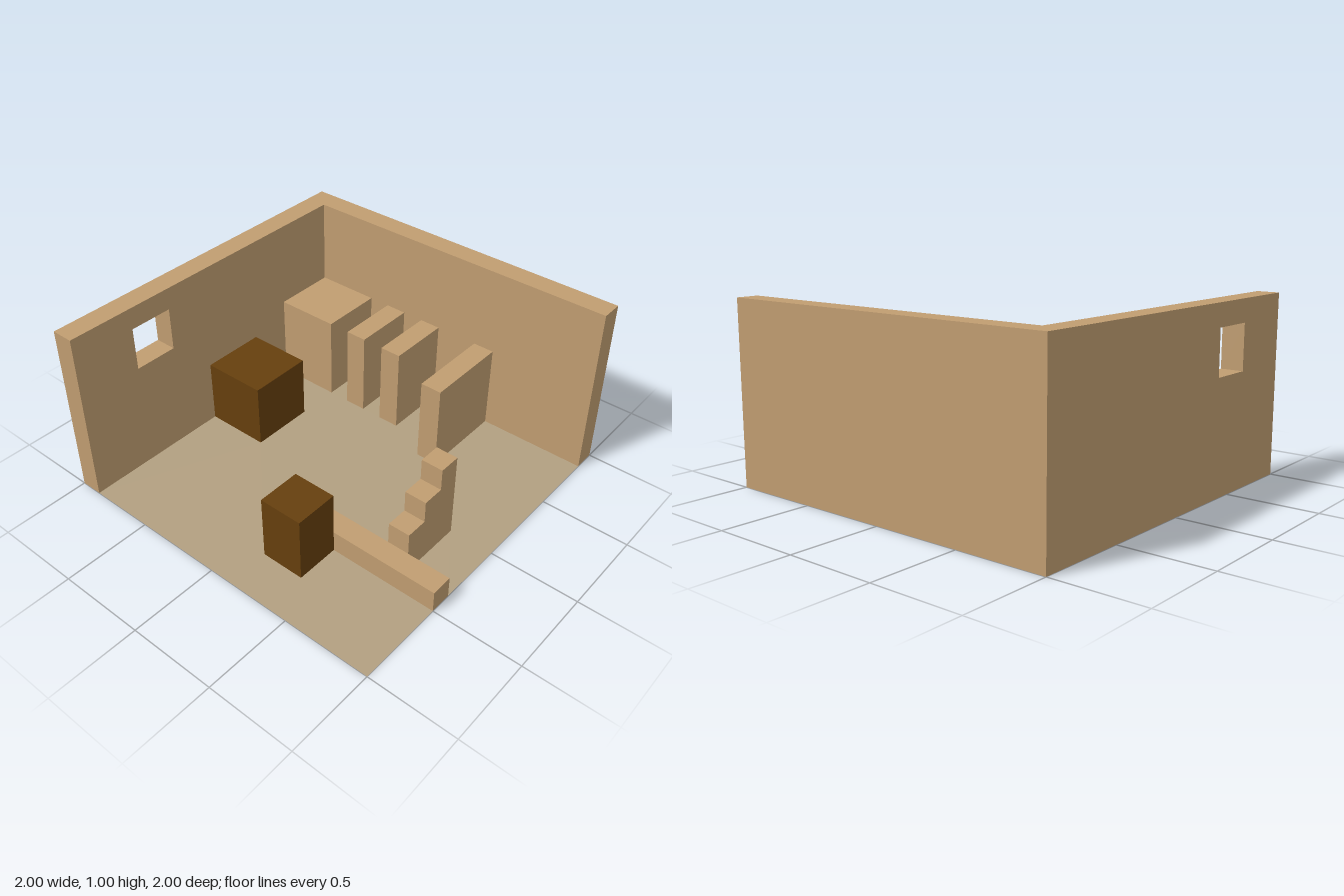
import * as THREE from 'three';

export function createModel() {
  const model = new THREE.Group();
  const mat = (name, color) => {
    const m = new THREE.MeshStandardMaterial({ color, side: THREE.DoubleSide });
    m.name = name;
    return m;
  };
  const sandstone = mat('sandstone', 0xc09d71);
  const floorTan = mat('floorTan', 0xb29f80);
  const brown = mat('darkBrown', 0x663f0d);

  const add = (name, geo, material) => {
    const mesh = new THREE.Mesh(geo, material);
    mesh.name = name;
    model.add(mesh);
    return mesh;
  };

  // Drops the triangles lying on the ground, leaving a hollow shell
  const openBottom = (geo) => {
    const g = geo.index ? geo.toNonIndexed() : geo;
    const p = g.attributes.position;
    const keep = [];
    for (let i = 0; i < p.count; i += 3) {
      if (Math.max(p.getY(i), p.getY(i + 1), p.getY(i + 2)) > 0.001) keep.push(i, i + 1, i + 2);
    }
    g.clearGroups();
    g.setIndex(keep);
    return g;
  };

  // Block standing on the ground, from its x range, z range and height
  const block = (name, x0, x1, z0, z1, h, material = sandstone) => {
    const geo = new THREE.BoxGeometry(x1 - x0, h, z1 - z0);
    geo.translate((x0 + x1) / 2, h / 2, (z0 + z1) / 2);
    return add(name, openBottom(geo), material);
  };

  // Floor, cut around the footprints of everything standing on it
  const outline = [
    [-1, -0.875], [-0.125, -0.875], [-0.125, -0.5], [0.25, -0.5], [0.25, -0.875],
    [0.5, -0.875], [0.5, -0.5], [0.875, -0.5], [0.875, -0.375], [0.5, -0.375],
    [0.5, -0.25], [0.875, -0.25], [0.875, -0.125], [0.5, -0.125], [0.5, 0],
    [0.875, 0], [0.875, 0.25], [0.375, 0.25], [0.375, 0.375], [0.875, 0.375],
    [0.875, 1], [-0.375, 1], [-0.375, 0.75], [0, 0.75], [0, 0.625],
    [-0.375, 0.625], [-0.375, 0.125], [-0.75, 0.125], [-0.75, 0.375],
    [-0.5, 0.375], [-0.5, 1], [-1, 1],
  ];
  const floorShape = new THREE.Shape(outline.map(([x, z]) => new THREE.Vector2(x, -z)));
  add('floor', new THREE.ShapeGeometry(floorShape).rotateX(-Math.PI / 2), floorTan);

  // Back wall with a square window
  const rect = (C, x0, x1, y0, y1) => new C([
    new THREE.Vector2(x0, y0), new THREE.Vector2(x1, y0),
    new THREE.Vector2(x1, y1), new THREE.Vector2(x0, y1),
  ]);
  const wall = rect(THREE.Shape, -1, 1, 0, 1);
  wall.holes.push(rect(THREE.Path, -0.625, -0.375, 0.625, 0.875));
  const wallGeo = new THREE.ExtrudeGeometry(wall, { depth: 0.125, bevelEnabled: false });
  add('backWall', openBottom(wallGeo.translate(0, 0, -1)), sandstone);

  // Side wall
  block('leftWall', 0.875, 1, -0.875, 1, 1);

  // Low curb and the steps rising from it
  block('curb', -0.5, -0.375, 0.125, 1, 0.125);
  for (let i = 0; i < 3; i++) {
    const x = -0.375 + i * 0.125;
    block(`step${i + 1}`, x, x + 0.125, 0.625, 0.75, 0.25 + i * 0.125);
  }

  // Ledges along the side wall
  block('frontLedge', 0.375, 0.875, 0.25, 0.375, 0.5);
  block('middleLedge', 0.5, 0.875, -0.125, 0, 0.5);
  block('rearLedge', 0.5, 0.875, -0.375, -0.25, 0.5);
  block('cornerPlatform', 0.5, 0.875, -0.875, -0.5, 0.5);

  // Dark crates
  block('smallCrate', -0.75, -0.5, 0.125, 0.375, 0.375, brown);
  block('largeCrate', -0.125, 0.25, -0.875, -0.5, 0.375, brown);

  return model;
}
